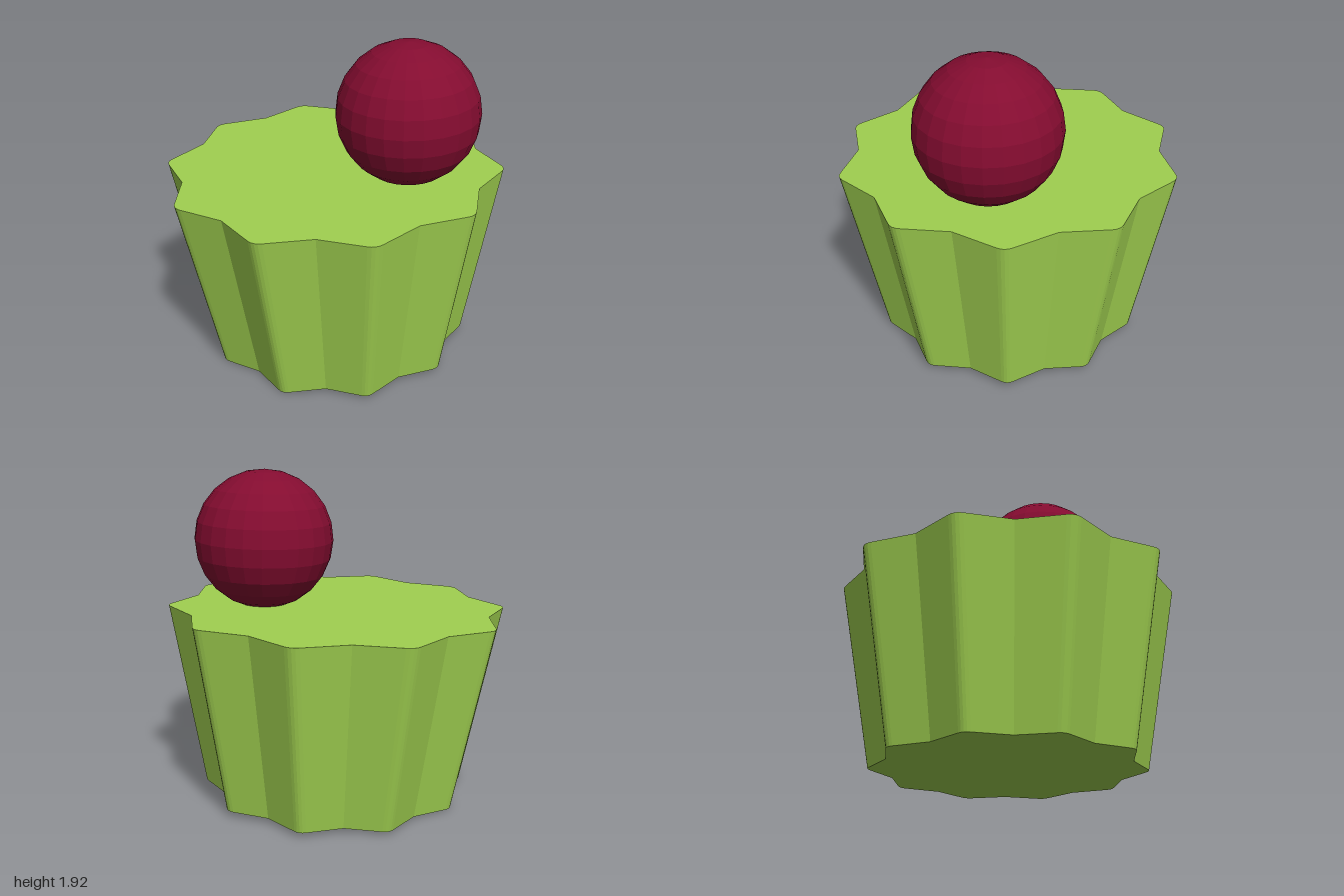
import * as THREE from 'three';

const HEIGHT = 1.1;
const BOTTOM_SCALE = 0.79;
const TIPS = 10;

// Ten-pointed fluted outline with rounded tips and sharp valleys
function flutedOutline(tipRadius, valleyRadius, twist, rounding) {
  const polar = (r, a) => new THREE.Vector2(r * Math.cos(a), r * Math.sin(a));
  const step = (Math.PI * 2) / TIPS;
  const shape = new THREE.Shape();
  for (let i = 0; i < TIPS; i++) {
    const a = step * (i + 0.5) + twist;
    const before = polar(valleyRadius, a - step / 2);
    const tip = polar(tipRadius, a);
    const after = polar(valleyRadius, a + step / 2);
    const start = tip.clone().lerp(before, rounding);
    const end = tip.clone().lerp(after, rounding);
    if (i === 0) shape.moveTo(before.x, before.y);
    shape.lineTo(start.x, start.y);
    shape.quadraticCurveTo(tip.x, tip.y, end.x, end.y);
    if (i < TIPS - 1) shape.lineTo(after.x, after.y);
  }
  shape.closePath();
  return shape;
}

export function createModel() {
  const green = new THREE.MeshStandardMaterial({ color: 0xa0d050 });
  green.name = 'leafGreen';
  const red = new THREE.MeshStandardMaterial({ color: 0x840c30 });
  red.name = 'cherryRed';
  red.flatShading = true;

  const model = new THREE.Group();
  model.name = 'cupWithCherry';

  // Solid fluted cup, narrowing towards the bottom
  const cupGeometry = new THREE.ExtrudeGeometry(flutedOutline(1.01, 0.89, -0.021, 0.15), {
    depth: HEIGHT, bevelEnabled: false, curveSegments: 4,
  });
  cupGeometry.rotateX(-Math.PI / 2);
  const p = cupGeometry.attributes.position;
  for (let i = 0; i < p.count; i++) {
    const s = THREE.MathUtils.lerp(BOTTOM_SCALE, 1, p.getY(i) / HEIGHT);
    p.setXYZ(i, p.getX(i) * s, p.getY(i), p.getZ(i) * s);
  }
  cupGeometry.computeVertexNormals();
  const cup = new THREE.Mesh(cupGeometry, green);
  cup.name = 'flutedCup';
  cup.position.set(0.022, 0.02, -0.015);
  cup.rotation.set(0.014, 0, 0.022);
  model.add(cup);

  // Faceted ball resting off-centre on the top
  const cherry = new THREE.Mesh(new THREE.SphereGeometry(0.41, 24, 12), red);
  cherry.name = 'cherry';
  cherry.position.set(0.44, 1.51, -0.03);
  cherry.rotation.set(0.014, 0, 0.022);
  model.add(cherry);

  return model;
}
